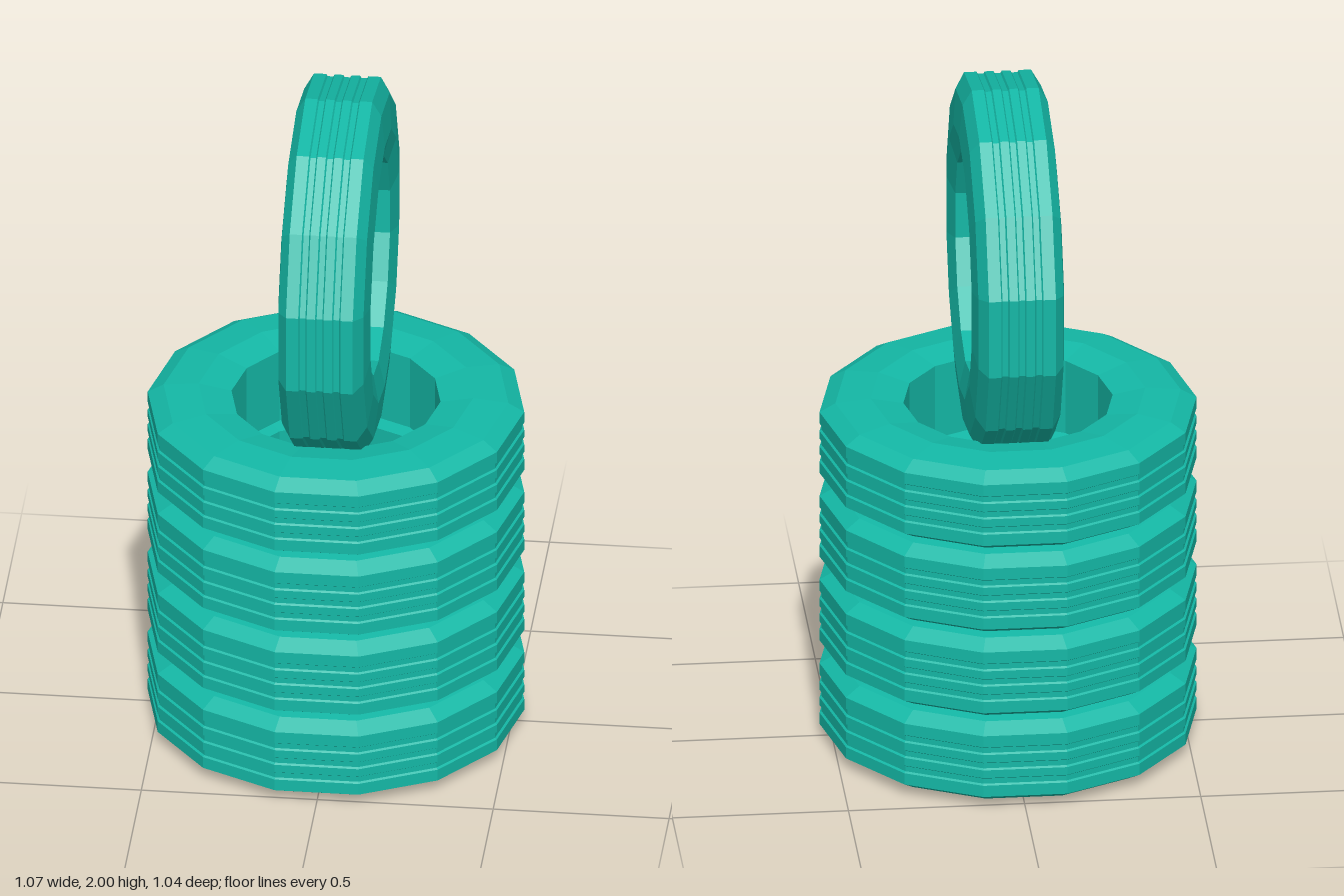
import * as THREE from 'three';

const material = new THREE.MeshStandardMaterial({ color: 0x14b8a6, flatShading: true });

// Low-poly tyre: a closed cross-section turned about y, with a corner on the x axis
function tyreGeometry(holeRadius) {
  const half = [
    [holeRadius, 0.113], [0.39, 0.131], [0.49, 0.121], [0.535, 0.095],
  ];
  const points = half.map(([r, y]) => new THREE.Vector2(r, -y));
  // shallow grooves around the tread
  for (const y of [-0.048, 0, 0.048]) {
    points.push(
      new THREE.Vector2(0.535, y - 0.012),
      new THREE.Vector2(0.529, y - 0.008),
      new THREE.Vector2(0.529, y + 0.008),
      new THREE.Vector2(0.535, y + 0.012),
    );
  }
  points.push(...half.slice().reverse().map(([r, y]) => new THREE.Vector2(r, y)));
  points.push(points[0].clone()); // inner wall
  return new THREE.LatheGeometry(points, 14).rotateY(Math.PI / 2);
}

export function createModel() {
  const model = new THREE.Group();
  model.name = 'tyreStack';

  // Four tyres lying flat
  const flat = tyreGeometry(0.297);
  for (let i = 0; i < 4; i++) {
    const tyre = new THREE.Mesh(flat, material);
    tyre.name = `stackedTyre${i + 1}`;
    tyre.position.y = 0.131 + i * 0.262;
    model.add(tyre);
  }

  // One tyre standing upright, sunk into the top of the stack
  const upright = new THREE.Mesh(tyreGeometry(0.312).rotateZ(Math.PI / 2), material);
  upright.name = 'uprightTyre';
  upright.position.set(0.008, 1.465, 0);
  model.add(upright);

  return model;
}
